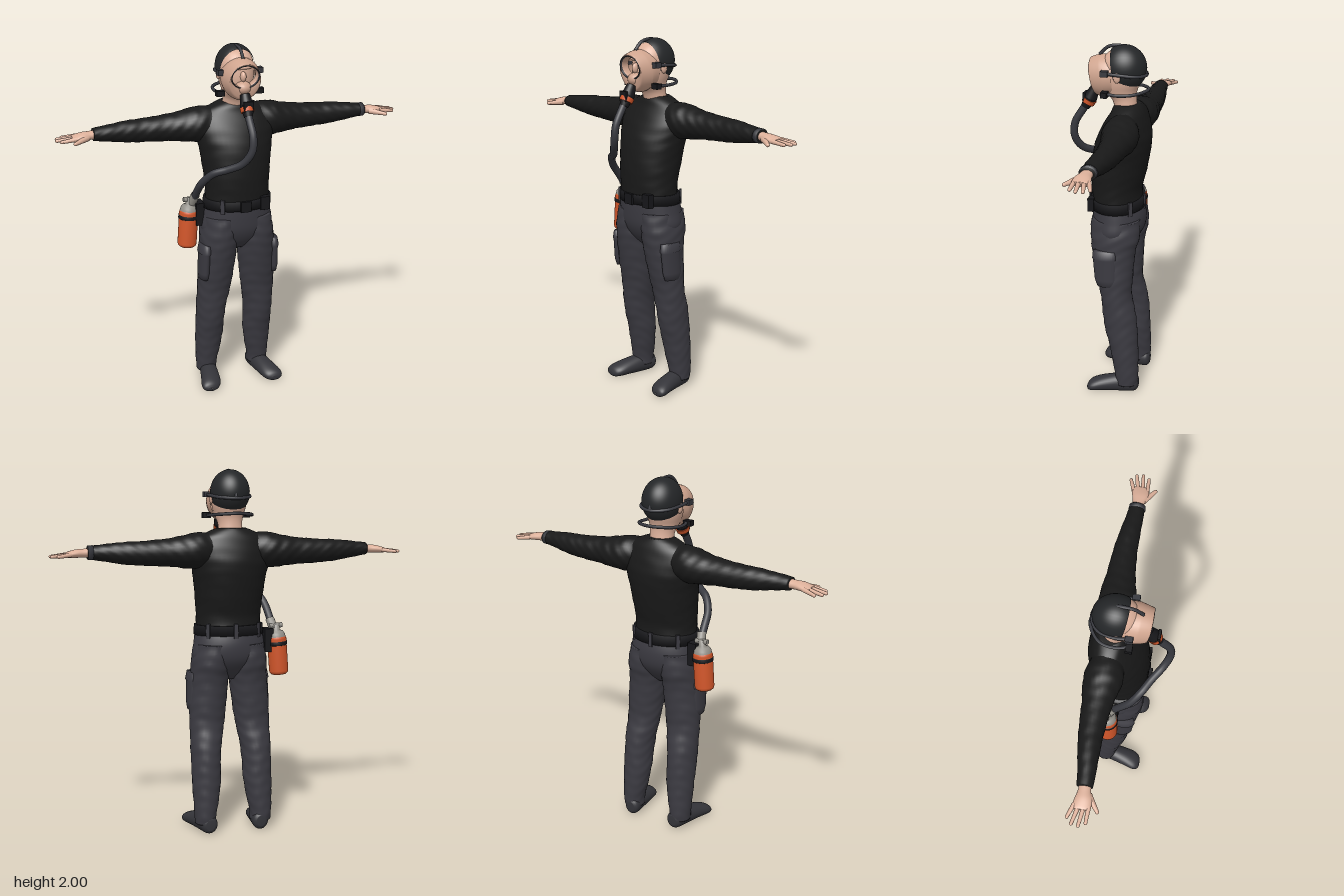
import * as THREE from 'three';

const mat = (name, color, side = THREE.FrontSide) => {
  const m = new THREE.MeshStandardMaterial({ color, side });
  m.name = name;
  return m;
};

// Smoothly resample rows of numbers with a Catmull-Rom rule.
function resample(rows, steps) {
  const out = [], at = i => rows[Math.max(0, Math.min(rows.length - 1, i))];
  for (let i = 0; i < rows.length - 1; i++) for (let s = 0; s < steps; s++) {
    const t = s / steps, [a, b, c, d] = [at(i - 1), at(i), at(i + 1), at(i + 2)];
    out.push(b.map((v, k) => v + 0.5 * t * (c[k] - a[k] + t * (2 * a[k] - 5 * v + 4 * c[k] - d[k] + t * (3 * (v - c[k]) + d[k] - a[k])))));
  }
  out.push(rows[rows.length - 1]);
  return out;
}

// Oval rings along an axis. Row: [t, first, second, rFirst, rSecond]
// axis y: first x, second z; axis x: first z, second y; axis z: first y, second x.
const ORDER = { y: [1, 0, 2], x: [0, 2, 1], z: [2, 1, 0] };
function loft(axis, rows, { n = 32, steps = 5, cap = true, fold = 0, rule } = {}) {
  let r = steps > 1 ? resample(rows, steps) : rows;
  if (cap) {
    const end = q => [q[0], q[1], q[2], 0.0005, 0.0005];
    r = [end(r[0]), ...r, end(r[r.length - 1])];
  }
  const pos = [], idx = [], o = ORDER[axis];
  r.forEach(([t, a, b, ra, rb], i) => {
    for (let j = 0; j < n; j++) {
      const w = j / n * Math.PI * 2;
      const f = 1 + fold * Math.sin(t * 75 + 3 * Math.sin(w * 2)) * Math.sin(w * 3 + t * 22);
      const p = [0, 0, 0];
      p[o[0]] = t;
      p[o[1]] = a + ra * f * Math.cos(w);
      p[o[2]] = b + rb * f * Math.sin(w);
      if (rule) rule(p);
      pos.push(...p);
      if (i < r.length - 1) {
        const k = (j + 1) % n, A = i * n + j, B = i * n + k;
        idx.push(A, A + n, B, B, A + n, B + n);
      }
    }
  });
  const g = new THREE.BufferGeometry();
  g.setAttribute('position', new THREE.Float32BufferAttribute(pos, 3));
  g.setIndex(idx);
  g.computeVertexNormals();
  return g;
}

// Mirror an indexed geometry across x = 0.
function mirror(geo) {
  const g = geo.clone().scale(-1, 1, 1), a = g.index.array;
  for (let i = 0; i < a.length; i += 3) [a[i], a[i + 1]] = [a[i + 1], a[i]];
  g.computeVertexNormals();
  return g;
}

const V = (x, y, z) => new THREE.Vector3(x, y, z);

// Tapered round bar between two points.
function bar(a, b, ra, rb, n = 14) {
  const d = b.clone().sub(a), g = new THREE.CylinderGeometry(rb, ra, d.length(), n);
  g.applyQuaternion(new THREE.Quaternion().setFromUnitVectors(V(0, 1, 0), d.clone().normalize()));
  return g.translate((a.x + b.x) / 2, (a.y + b.y) / 2, (a.z + b.z) / 2);
}
const box = (w, h, d, x, y, z) => new THREE.BoxGeometry(w, h, d).translate(x, y, z);
const ball = (rx, ry, rz, x, y, z) => new THREE.SphereGeometry(1, 20, 14).scale(rx, ry, rz).translate(x, y, z);

export function createModel() {
  const shirt = mat('shirt black', 0x191919), trousers = mat('trousers charcoal', 0x3b3a41);
  const shoe = mat('shoe grey', 0x343439), skin = mat('skin', 0xdcb09a);
  const mask = mat('mask tan', 0xcfa48e, THREE.DoubleSide), orange = mat('bottle orange', 0xd2562a);
  const metal = mat('valve grey', 0x928f88), gear = mat('gear black', 0x17171a);
  const hood = mat('hood black', 0x242628), rubber = mat('rubber grey', 0x37383e, THREE.DoubleSide);

  const model = new THREE.Group();
  model.name = 'maskedWorker';
  const add = (name, geo, m) => {
    const mesh = new THREE.Mesh(geo, m);
    mesh.name = name;
    model.add(mesh);
    return mesh;
  };
  const pair = (name, geo, m) => {
    add(name + 'Left', geo, m);
    add(name + 'Right', mirror(geo), m);
  };

  // Torso and hips
  add('shirtTorso', loft('y', [
    [1.13, 0, -.045, .183, .137], [1.2, 0, -.04, .182, .137], [1.3, 0, -.05, .19, .15],
    [1.42, 0, -.066, .205, .154], [1.5, 0, -.08, .22, .145], [1.57, 0, -.09, .225, .122],
    [1.63, 0, -.1, .19, .095], [1.665, 0, -.1, .13, .08], [1.685, 0, -.1, .08, .065],
  ], { n: 48, fold: .008 }), shirt);
  add('hips', loft('y', [
    [.85, 0, -.05, .06, .05], [.9, 0, -.05, .15, .1], [.97, 0, -.055, .208, .138],
    [1.05, 0, -.055, .2, .147], [1.13, 0, -.046, .188, .138],
  ], { n: 40 }), trousers);

  // Legs, pockets and shoes
  pair('trouserLeg', loft('y', [
    [.05, .16, -.138, .058, .063], [.1, .16, -.14, .061, .066], [.2, .153, -.13, .073, .075],
    [.3, .148, -.118, .081, .083], [.4, .147, -.102, .082, .093], [.5, .142, -.088, .088, .093],
    [.6, .132, -.07, .097, .087], [.7, .125, -.06, .103, .1], [.85, .112, -.05, .106, .12],
    [.95, .106, -.055, .106, .138], [1.05, .095, -.055, .1, .135],
  ], { fold: .02, steps: 8 }), trousers);
  pair('cargoPocket', loft('y', [
    [.68, .207, -.035, .025, .055], [.72, .207, -.03, .03, .064], [.84, .203, -.02, .03, .066],
    [.845, .203, -.02, .036, .07], [.89, .2, -.02, .029, .066],
  ], { steps: 1 }), trousers);
  pair('shoe', loft('z', [
    [-.205, .05, .147, .03, .025], [-.185, .05, .148, .05, .045], [-.12, .05, .157, .055, .049],
    [-.02, .042, .176, .045, .056], [.04, .033, .19, .036, .058], [.07, .026, .197, .026, .045],
    [.082, .022, .199, .01, .02],
  ], { rule: p => { p[1] = Math.max(0, p[1]); } }), shoe);

  // Sleeves, hands and fingers
  pair('sleeve', loft('x', [
    [.1, -.1, 1.575, .08, .085], [.2, -.108, 1.565, .1, .097], [.27, -.113, 1.56, .095, .088],
    [.36, -.118, 1.557, .078, .075], [.5, -.12, 1.555, .065, .065], [.6, -.115, 1.557, .057, .059],
    [.7, -.106, 1.56, .048, .046], [.79, -.1, 1.562, .041, .034],
  ], { fold: .025, steps: 8 }), shirt);
  pair('palm', loft('x', [
    [.76, -.1, 1.562, .03, .025], [.81, -.098, 1.56, .033, .023], [.85, -.096, 1.558, .044, .022],
    [.89, -.1, 1.553, .046, .017], [.905, -.1, 1.552, .038, .012],
  ], { n: 24 }), skin);
  [[-.136, .956, -.162], [-.112, .985, -.135], [-.087, .99, -.1], [-.064, .972, -.066]].forEach(([z0, x, z], i) => {
    pair('finger' + i, bar(V(.88, 1.554, z0), V(x - .008, 1.545, z), .0125, .009), skin);
    pair('fingertip' + i, ball(.01, .009, .009, x - .008, 1.545, z), skin);
  });
  pair('thumb', bar(V(.825, 1.553, -.075), V(.9, 1.542, -.02), .018, .01), skin);
  pair('thumbTip', ball(.011, .01, .01, .9, 1.542, -.02), skin);
  add('wristwatch', loft('x', [[.762, -.1, 1.562, .046, .039], [.787, -.1, 1.562, .044, .038]], { steps: 1 }), rubber);

  // Belt with buckle, keepers and pouches
  add('belt', loft('y', [[1.1, 0, -.048, .198, .15], [1.155, 0, -.044, .194, .148]], { n: 48, steps: 1 }), gear);
  add('buckle', box(.06, .06, .016, 0, 1.127, .105), gear);
  for (const a of [-2.4, -1.57, -.75, .9, 2.25]) {
    const k = add('beltKeeper', box(.022, .08, .012, 0, 0, 0), trousers);
    k.position.set(.197 * Math.cos(a), 1.127, -.046 + .15 * Math.sin(a));
    k.rotation.y = Math.PI / 2 - a;
  }
  add('beltPouch', box(.055, .075, .035, .12, 1.13, .075), gear);
  add('bottleHolder', box(.05, .13, .08, -.215, 1.06, -.08), gear);

  // Air bottle with valve
  const bottle = new THREE.Group();
  bottle.name = 'airBottle';
  bottle.position.set(-.284, .865, -.09);
  bottle.rotation.z = -.07;
  model.add(bottle);
  const spin = (name, pts, m) => {
    const mesh = new THREE.Mesh(new THREE.LatheGeometry(pts.map(p => new THREE.Vector2(...p)), 32), m);
    mesh.name = name;
    bottle.add(mesh);
  };
  spin('bottleBody', [[0, 0], [.042, 0], [.051, .008], [.054, .02], [.054, .2], [.05, .212], [.044, .217]], orange);
  spin('bottleShoulder', [[.05, .21], [.047, .228], [.036, .243], [.02, .25], [.02, .285], [0, .285]], metal);
  spin('bottleStrap', [[.054, .165], [.057, .167], [.057, .185], [.054, .187]], gear);
  const knob = new THREE.Mesh(bar(V(-.035, .275, 0), V(.04, .275, 0), .014, .014), metal);
  knob.name = 'valveKnob';
  bottle.add(knob);

  // Breathing hose
  const path = new THREE.CatmullRomCurve3([
    V(0, 1.69, .115), V(0, 1.63, .155), V(.004, 1.55, .2), V(-.004, 1.47, .205), V(-.045, 1.4, .175), V(-.11, 1.36, .125),
    V(-.18, 1.33, .08), V(-.225, 1.27, .03), V(-.24, 1.2, -.03), V(-.245, 1.13, -.08),
  ]);
  add('breathingHose', new THREE.TubeGeometry(path, 90, .021, 14), rubber);
  add('hoseFitting', bar(V(-.252, 1.12, -.085), V(-.24, 1.175, -.055), .025, .025), metal);

  // Neck and head
  add('head', loft('y', [
    [1.62, 0, -.095, .075, .06], [1.7, 0, -.078, .066, .066], [1.75, 0, -.055, .078, .09],
    [1.8, 0, -.055, .092, .108], [1.86, 0, -.06, .097, .115], [1.92, 0, -.068, .092, .108],
    [1.965, 0, -.075, .065, .075], [1.975, 0, -.075, .03, .03],
  ]), skin);
  pair('ear', ball(.012, .03, .02, .1, 1.845, -.06), skin);
  add('nose', ball(.016, .028, .022, 0, 1.845, .058), skin);
  add('brow', ball(.06, .012, .016, 0, 1.89, .04), skin);

  // Hood over crown and back of the head
  const cap = new THREE.SphereGeometry(1, 40, 24, 0, Math.PI * 2, 0, 1.95).rotateX(-Math.PI / 2)
    .rotateX(.2).scale(.107, .124, .122).translate(0, 1.876, -.075);
  add('hood', cap, hood);

  // Full-face mask: shell that turns in around the window
  const tilt = p => { if (p[2] > .02) p[2] += (p[1] - 1.83) * .17; };
  add('maskShell', loft('z', [
    [-.03, 1.832, 0, .105, .1], [.015, 1.83, 0, .113, .106], [.05, 1.825, 0, .112, .1],
    [.085, 1.823, 0, .103, .091], [.094, 1.83, 0, .09, .086], [.088, 1.85, 0, .06, .077], [.04, 1.852, 0, .056, .075],
  ], { n: 44, steps: 3, cap: false, rule: tilt }), mask);
  add('windowRim', loft('z', [
    [.087, 1.85, 0, .065, .081], [.096, 1.85, 0, .065, .081], [.096, 1.85, 0, .059, .075], [.085, 1.85, 0, .059, .075],
  ], { n: 40, steps: 1, cap: false, rule: tilt }), rubber);
  add('noseCup', ball(.045, .036, .045, 0, 1.785, .055), mask);

  // Regulator under the mask
  add('regulator', bar(V(0, 1.755, .085), V(0, 1.7, .112), .026, .037, 24), gear);
  add('regulatorLower', bar(V(0, 1.7, .112), V(0, 1.645, .142), .037, .024, 24), gear);
  add('regulatorButton', bar(V(0, 1.69, .115), V(0, 1.668, .127), .0385, .036, 24), orange)
    .scale.set(1.01, 1, 1);
  add('regulatorFront', box(.056, .055, .014, 0, 1.7, .142), gear);

  // Head straps and clips
  const strap = pts => new THREE.TubeGeometry(new THREE.CatmullRomCurve3(pts.map(p => V(...p))), 40, .009, 8);
  add('neckStrap', strap([[-.1, 1.755, .01], [-.118, 1.752, -.06], [-.1, 1.758, -.15], [0, 1.765, -.208],
    [.1, 1.758, -.15], [.118, 1.752, -.06], [.1, 1.755, .01]]), rubber);
  add('templeStrap', strap([[-.105, 1.865, .02], [-.11, 1.86, -.07], [-.08, 1.85, -.16], [0, 1.845, -.198],
    [.08, 1.85, -.16], [.11, 1.86, -.07], [.105, 1.865, .02]]), rubber);
  add('crownStrap', strap([[0, 1.94, .06], [0, 1.985, .01], [0, 1.992, -.07], [0, 1.96, -.15], [0, 1.85, -.196]]), rubber);
  pair('upperClip', box(.03, .03, .04, .113, 1.865, .005), rubber);
  pair('lowerClip', box(.045, .03, .035, .112, 1.752, .005), gear);
  return model;
}
